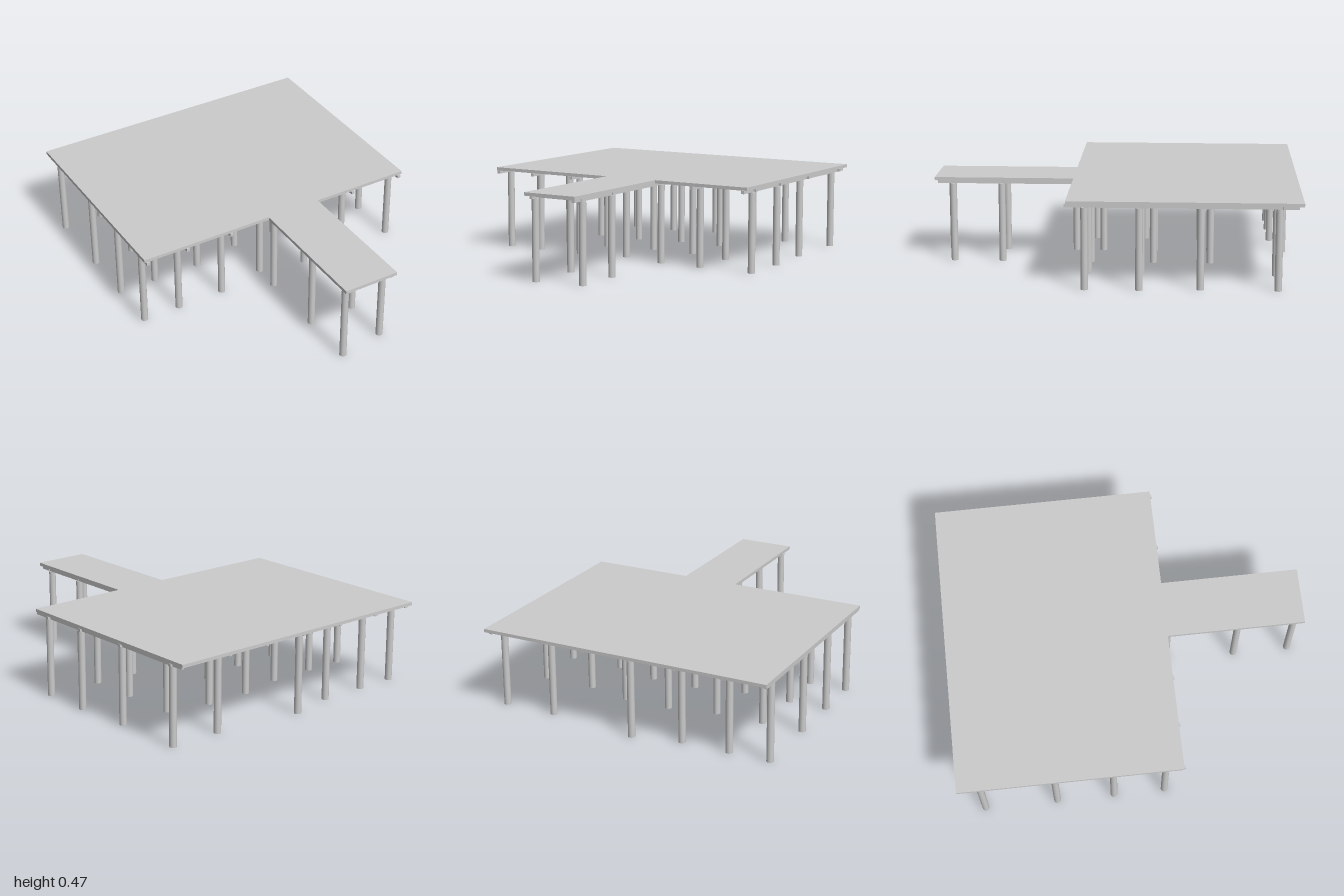
import * as THREE from 'three';

export function createModel() {
  const model = new THREE.Group();
  model.name = 'pier';
  const material = new THREE.MeshStandardMaterial({ color: 0xcccccc });

  const add = (name, geometry, x, y, z) => {
    const mesh = new THREE.Mesh(geometry, material);
    mesh.name = name;
    mesh.position.set(x, y, z);
    model.add(mesh);
  };

  // T-shaped deck: wide platform with a narrow walkway to the front
  const outline = [[-0.83, -1], [0.825, -1], [0.825, 0.232], [0.255, 0.232],
    [0.255, 1], [-0.063, 1], [-0.063, 0.232], [-0.83, 0.232]];
  const shape = new THREE.Shape(outline.map(([x, z]) => new THREE.Vector2(x, -z)));
  const deck = new THREE.ExtrudeGeometry(shape, { depth: 0.018, bevelEnabled: false });
  deck.rotateX(-Math.PI / 2);
  add('deck', deck, 0, 0.457, 0);

  // Round posts, listed as x followed by the z positions along that line
  const postHeight = 0.44;
  const post = new THREE.CylinderGeometry(0.0195, 0.0195, postHeight, 16);
  const postLines = [
    [-0.8, [-0.875, -0.47, -0.15, 0.135]],
    [-0.57, [-0.875, -0.47]],
    [-0.585, [-0.15, 0.135]],
    [-0.297, [-0.875, -0.47]],
    [-0.312, [-0.15, 0.135]],
    [-0.03, [-0.935, -0.525, -0.21, 0.08, 0.235, 0.63, 0.945]],
    [0.235, [-0.525, -0.21, 0.135, 0.63, 0.9]],
    [0.485, [-0.875, -0.47, -0.15, 0.135]],
    [0.782, [-0.875, -0.47]],
    [0.804, [-0.15, 0.135]],
  ];
  for (const [x, zs] of postLines) {
    for (const z of zs) add('post', post, x, postHeight / 2, z);
  }

  // Long beams running front to back over each line of posts
  const beamHeight = 0.018, beamWidth = 0.018, beamY = 0.449;
  for (const x of [-0.812, -0.57, -0.3, -0.03, 0.235, 0.488, 0.803]) {
    const front = x === -0.03 || x === 0.235 ? 0.985 : 0.24;
    const back = -0.975;
    add('longBeam', new THREE.BoxGeometry(beamWidth, beamHeight, front - back),
      x, beamY, (front + back) / 2);
  }

  // Cross beams under the platform
  for (const z of [-0.9, -0.5, -0.16, 0.125]) {
    add('crossBeam', new THREE.BoxGeometry(1.645, 0.016, beamWidth), 0.005, beamY + 0.001, z);
  }

  // Cross beams under the walkway
  for (const z of [0.63, 0.92]) {
    add('walkwayCrossBeam', new THREE.BoxGeometry(0.3, 0.016, beamWidth), 0.1, beamY + 0.001, z);
  }

  return model;
}
